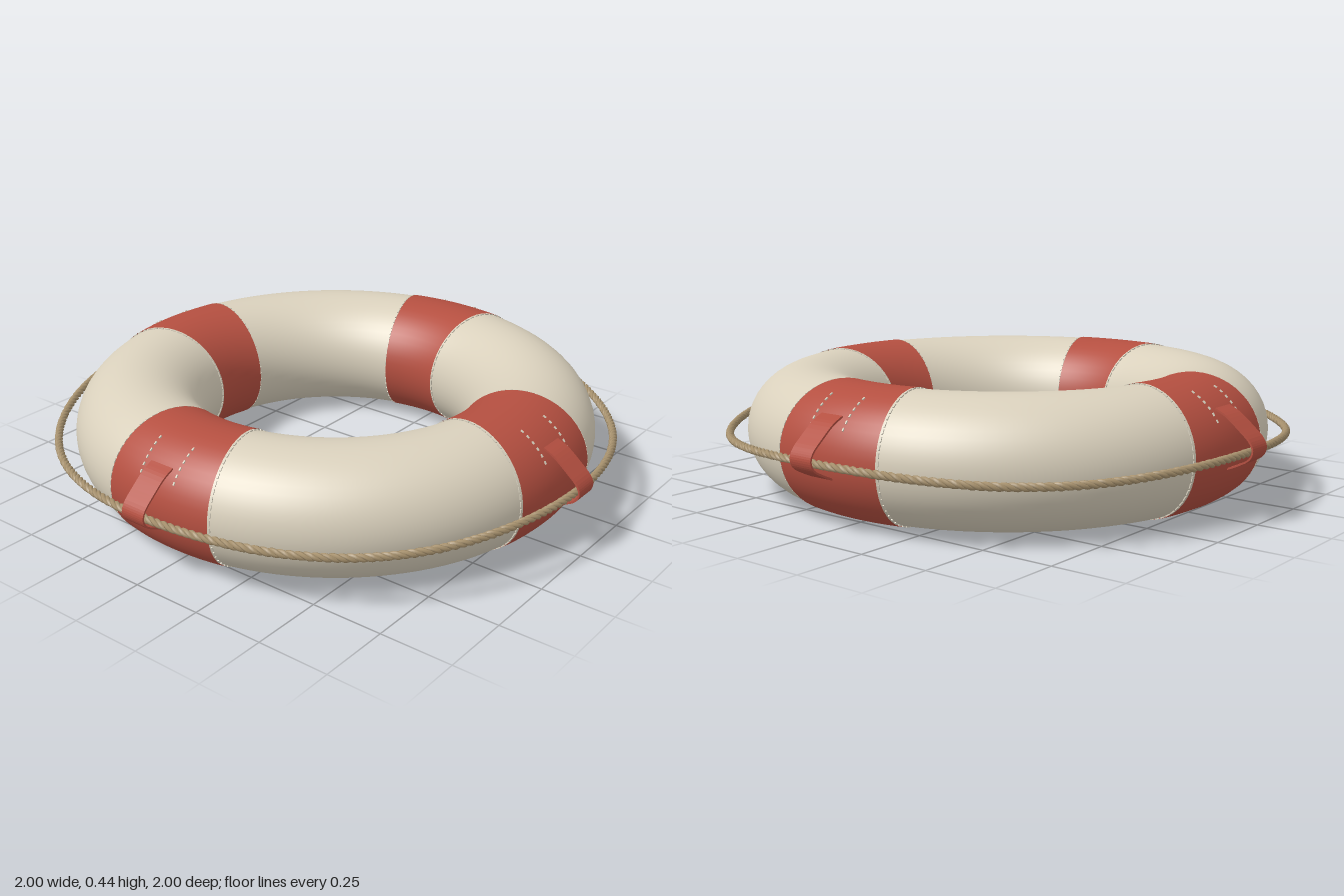
import * as THREE from 'three';
import { mergeGeometries } from 'three/addons/utils/BufferGeometryUtils.js';

const RING = 0.688, MID = 0.2185, DEG = Math.PI / 180;
const HALF_BAND = 13.1 * DEG;

const mat = (name, color, side = THREE.FrontSide) => {
  const m = new THREE.MeshStandardMaterial({ color, side });
  m.name = name;
  return m;
};

// Section of the slightly flattened ring, centred on an angle about y
function ringSection(rx, ry, centre, arc, segments) {
  const g = new THREE.TorusGeometry(RING, rx, 48, segments, arc);
  g.rotateZ(centre - arc / 2).rotateX(-Math.PI / 2);
  return g.scale(1, ry / rx, 1).translate(0, MID, 0);
}

// One thread stitch lying along the tube surface
function stitch(theta, phi, rx, ry, length) {
  const c = Math.cos(phi), s = Math.sin(phi);
  const out = new THREE.Vector3(Math.cos(theta), 0, -Math.sin(theta));
  const up = new THREE.Vector3(0, 1, 0);
  const along = out.clone().multiplyScalar(-rx * s).addScaledVector(up, ry * c).normalize();
  const normal = out.clone().multiplyScalar(ry * c).addScaledVector(up, rx * s).normalize();
  const across = along.clone().cross(normal);
  const m = new THREE.Matrix4().makeBasis(along, normal, across);
  m.setPosition(out.multiplyScalar(RING + rx * c).setY(MID + ry * s));
  return new THREE.BoxGeometry(length, 0.005, 0.005).applyMatrix4(m);
}

// Closed helix: one strand of the sagging grab rope
class StrandCurve extends THREE.Curve {
  constructor(phase) {
    super();
    this.phase = phase;
    this.arcLengthDivisions = 3000;
  }
  getPoint(t, target = new THREE.Vector3()) {
    const a = t * Math.PI * 2, twist = a * 80 + this.phase;
    const r = 0.975 + 0.0068 * Math.cos(twist);
    const y = 0.221 + 0.013 * Math.cos(4 * a) + 0.0068 * Math.sin(twist);
    return target.set(r * Math.cos(a), y, r * Math.sin(a));
  }
}

// Webbing loop: a thin ribbon profile (radius, height) extruded across its width
function strapGeometry() {
  const path = new THREE.CatmullRomCurve3([
    [0.862, 0.362], [0.9, 0.343], [0.95, 0.303], [0.987, 0.268],
    [0.997, 0.243], [0.987, 0.216], [0.95, 0.193], [0.908, 0.174],
  ].map(([x, y]) => new THREE.Vector3(x, y, 0)));
  const outer = [], inner = [];
  for (let i = 0; i <= 28; i++) {
    const p = path.getPoint(i / 28), t = path.getTangent(i / 28);
    outer.push(new THREE.Vector2(p.x - t.y * 0.003, p.y + t.x * 0.003));
    inner.unshift(new THREE.Vector2(p.x + t.y * 0.003, p.y - t.x * 0.003));
  }
  const g = new THREE.ExtrudeGeometry(new THREE.Shape([...outer, ...inner]), {
    depth: 0.09, bevelEnabled: false,
  });
  return g.translate(0, 0, -0.045);
}

export function createModel() {
  const cream = mat('cream canvas', 0xd9d0bc);
  const red = mat('red canvas', 0xb44f40, THREE.DoubleSide);
  const rope = mat('tan rope', 0xa8926e);
  const thread = mat('pale thread', 0xd6cfbd);

  const model = new THREE.Group();
  const add = (name, geometry, material) => {
    const mesh = new THREE.Mesh(geometry, material);
    mesh.name = name;
    model.add(mesh);
    return mesh;
  };

  add('floatRing', ringSection(0.226, 0.2145, 0, Math.PI * 2, 128), cream);

  const strap = strapGeometry();
  for (let i = 0; i < 4; i++) {
    const centre = i * Math.PI / 2;
    add('band', ringSection(0.23, MID, centre, HALF_BAND * 2, 16), red);
    add('strap', strap, red).rotation.y = centre;

    // Hem stitches run around both band edges
    const stitches = [];
    for (const side of [-1, 1]) {
      for (let k = 0; k < 56; k++) {
        const phi = k / 56 * Math.PI * 2;
        stitches.push(stitch(centre + side * 13.5 * DEG, phi, 0.227, 0.2155, 0.017));
      }
      // Rows of stitches either side of the strap anchor
      for (let k = 0; k < 6; k++) {
        const phi = (30 + k * 6.2) * DEG;
        const offset = Math.asin(0.07 / (RING + 0.23 * Math.cos(phi)));
        stitches.push(stitch(centre + side * offset, phi, 0.231, 0.2195, 0.011));
      }
    }
    add('stitching', mergeGeometries(stitches), thread);
  }

  // Three strands twisted into one rope
  for (let i = 0; i < 3; i++) {
    const curve = new StrandCurve(i * Math.PI * 2 / 3);
    add('ropeStrand', new THREE.TubeGeometry(curve, 960, 0.0075, 6, true), rope);
  }
  return model;
}
